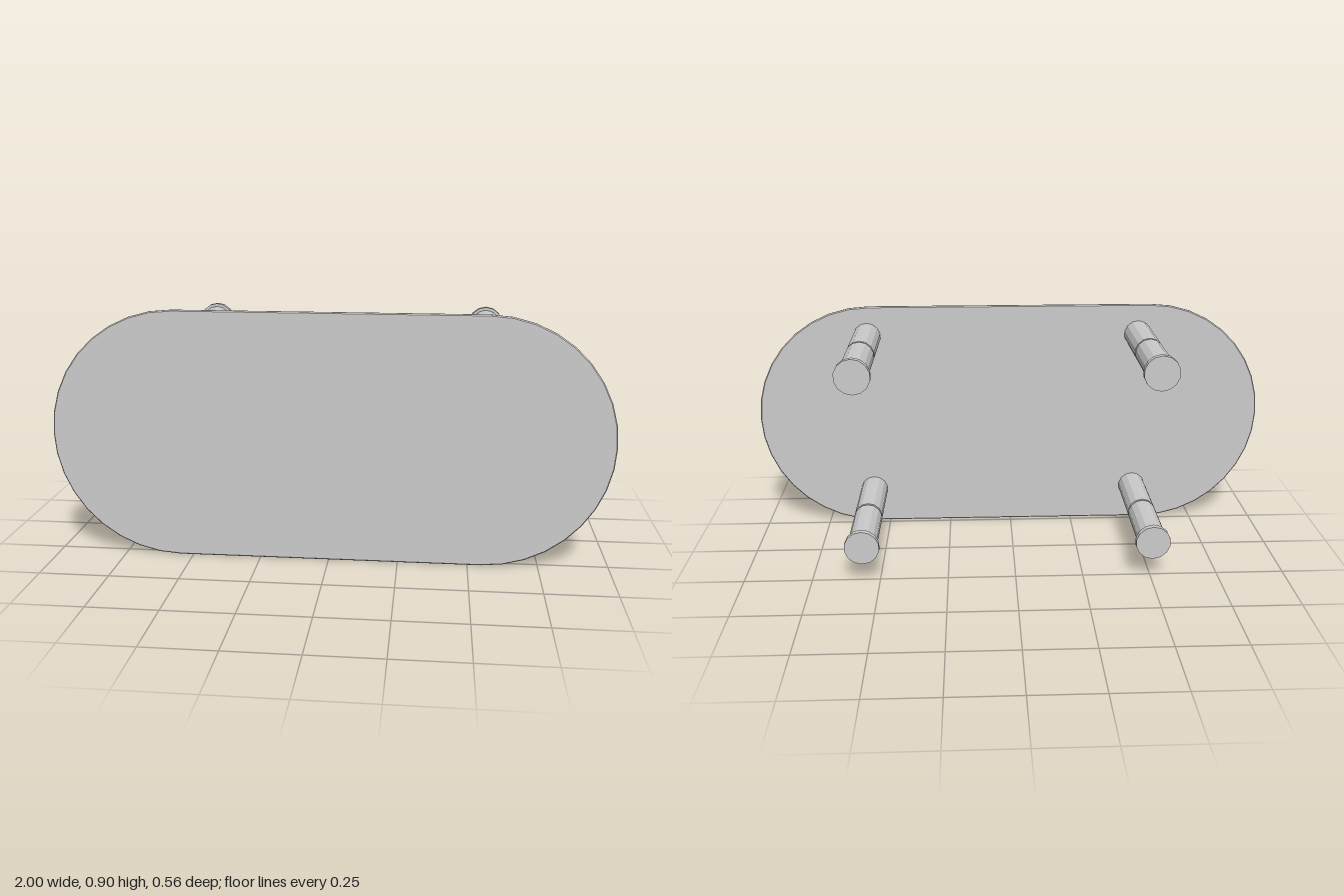
import * as THREE from 'three';

export function createModel() {
  const model = new THREE.Group();
  const material = new THREE.MeshStandardMaterial({ color: 0xcccccc, flatShading: true });

  // Tabletop: a thin board with two straight edges and rounded ends
  const radius = 0.4525, straight = 0.5475, bevel = 0.004;
  const r = radius - bevel;
  const outline = new THREE.Shape();
  outline.moveTo(-straight, -r);
  outline.lineTo(straight, -r);
  outline.absarc(straight, 0, r, -Math.PI / 2, Math.PI / 2, false);
  outline.absarc(-straight, 0, r, Math.PI / 2, Math.PI * 1.5, false);
  const board = new THREE.ExtrudeGeometry(outline, {
    depth: 0.005, bevelEnabled: true, bevelSize: bevel, bevelThickness: bevel,
    bevelSegments: 1, curveSegments: 9,
  });
  const tabletop = new THREE.Mesh(board, material);
  tabletop.name = 'tabletop';
  tabletop.position.set(0, radius, 0.267 + bevel);
  model.add(tabletop);

  // A round section of a leg, running along z between two depths
  function section(name, size, zBack, zFront) {
    const geometry = new THREE.CylinderGeometry(size, size, zFront - zBack, 14);
    geometry.rotateX(Math.PI / 2);
    const mesh = new THREE.Mesh(geometry, material);
    mesh.name = name;
    mesh.position.z = (zBack + zFront) / 2;
    return mesh;
  }

  // Four legs, each split in two sections by a narrow gap and ending in a foot
  for (const x of [-0.503, 0.56]) {
    for (const y of [0.142, 0.787]) {
      const leg = new THREE.Group();
      leg.name = 'leg';
      leg.position.set(x, y, 0);
      leg.add(
        section('upperLeg', 0.053, -0.003, 0.27),
        section('lowerLeg', 0.053, -0.26, -0.013),
        section('foot', 0.064, -0.28, -0.258),
      );
      model.add(leg);
    }
  }
  return model;
}
